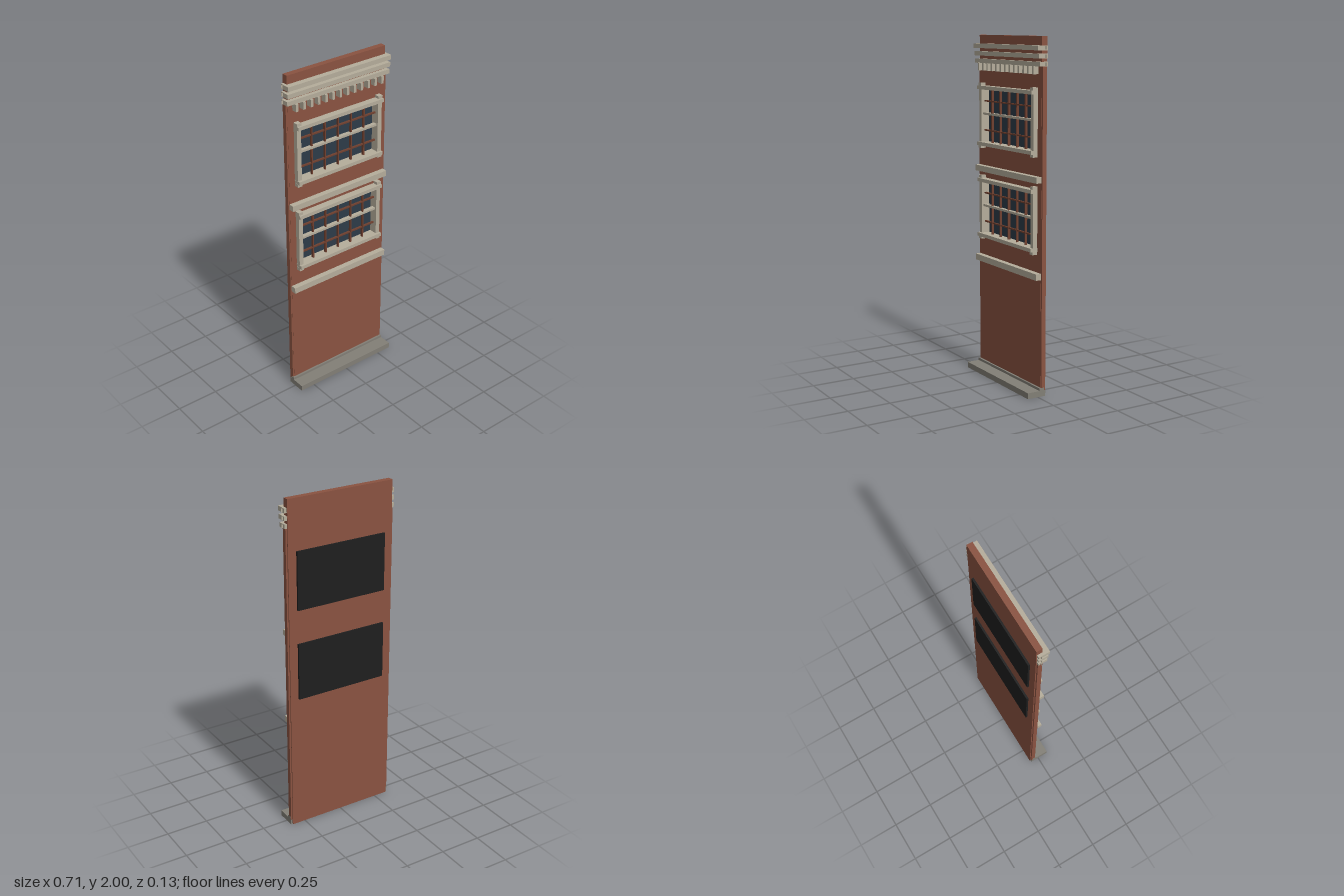
import * as THREE from 'three';

const mat = (name, color) => {
  const m = new THREE.MeshStandardMaterial({ color });
  m.name = name;
  return m;
};

export function createModel() {
  const brick = mat('brick', 0x8a5341);
  const stone = mat('pale stone', 0xb5ad9b);
  const plinth = mat('grey stone', 0x827f76);
  const glass = mat('dark glass', 0x2d3b48);
  const bar = mat('glazing bar brown', 0x70402f);
  const black = mat('black backing', 0x1e1e1e);

  const model = new THREE.Group();
  model.name = 'facadePanel';

  // Box given by its limits on each axis
  const box = (parent, name, m, x0, x1, y0, y1, z0, z1) => {
    const mesh = new THREE.Mesh(new THREE.BoxGeometry(x1 - x0, y1 - y0, z1 - z0), m);
    mesh.position.set((x0 + x1) / 2, (y0 + y1) / 2, (z0 + z1) / 2);
    mesh.name = name;
    parent.add(mesh);
    return mesh;
  };
  const wide = (parent, name, m, hx, y0, y1, z0, z1) => box(parent, name, m, -hx, hx, y0, y1, z0, z1);

  // Brick wall with two window openings
  const windowCentres = [1.536, 0.995];
  const rect = (S, hx, y0, y1) => new S([[-hx, y0], [hx, y0], [hx, y1], [-hx, y1]].map(p => new THREE.Vector2(...p)));
  const shape = rect(THREE.Shape, 0.331, 0, 1.91);
  windowCentres.forEach(c => shape.holes.push(rect(THREE.Path, 0.275, c - 0.16, c + 0.16)));
  const wall = new THREE.Mesh(new THREE.ExtrudeGeometry(shape, { depth: 0.033, bevelEnabled: false }), brick);
  wall.position.z = -0.056;
  wall.name = 'wall';
  model.add(wall);
  wide(model, 'parapet', brick, 0.331, 1.91, 2, -0.057, -0.022);

  // Slim brick returns on both edges
  for (const s of [-1, 1]) {
    const r = box(model, 'edgeReturn', brick, 0.331, 0.341, 0.03, 1.84, -0.05, -0.024);
    r.position.x *= s;
  }

  // Windows
  windowCentres.forEach((c, i) => {
    const w = new THREE.Group();
    w.name = i ? 'lowerWindow' : 'upperWindow';
    w.position.y = c;
    model.add(w);
    wide(w, 'backing', black, 0.281, -0.17, 0.17, -0.068, -0.0565);
    wide(w, 'glass', glass, 0.274, -0.159, 0.159, -0.052, -0.046);
    for (const s of [-1, 1]) {
      const post = box(w, 'framePost', stone, 0.266, 0.293, -0.189, 0.189, -0.045, 0.005);
      post.position.x *= s;
      for (const t of [-1, 1]) {
        const cap = box(w, 'cornerBlock', stone, 0.266, 0.295, 0.172, 0.19, -0.022, 0.009);
        cap.position.x *= s;
        cap.position.y *= t;
      }
      const rail = wide(w, 'frameRail', stone, 0.294, 0.153, 0.174, -0.045, 0.02);
      rail.position.y *= s;
      const h = wide(w, 'glazingBar', bar, 0.267, 0.081, 0.089, -0.026, -0.014);
      h.position.y *= s;
    }
    wide(w, 'meetingRail', stone, 0.267, 0.005, 0.018, -0.03, -0.006);
    for (let k = -2; k <= 2; k++) {
      const x = k * 0.0905;
      box(w, 'glazingBar', bar, x - 0.004, x + 0.004, -0.154, 0.154, -0.026, -0.012);
    }
  });

  // Belt courses
  wide(model, 'upperBelt', stone, 0.333, 1.208, 1.242, -0.024, 0.01);
  wide(model, 'lowerBelt', stone, 0.333, 0.668, 0.704, -0.024, 0.01);

  // Cornice of three bands with thin end fins
  [[1.925, 1.951, 0.012], [1.882, 1.907, 0.006], [1.839, 1.864, 0]].forEach(([y0, y1, z]) => {
    wide(model, 'corniceBand', stone, 0.347, y0, y1, -0.052, z);
    wide(model, 'corniceFin', stone, 0.356, y0 + 0.003, y1 - 0.003, -0.038, -0.036);
  });

  // Dentils
  for (let k = -6; k <= 6; k++) {
    const x = k * 0.0485;
    box(model, 'dentil', stone, x - 0.008, x + 0.008, 1.797, 1.84, -0.024, 0.01);
  }

  // Stepped base
  wide(model, 'baseSlab', plinth, 0.342, 0, 0.034, -0.05, 0.065);
  wide(model, 'baseStep', plinth, 0.342, 0.034, 0.049, -0.04, -0.012);

  return model;
}
